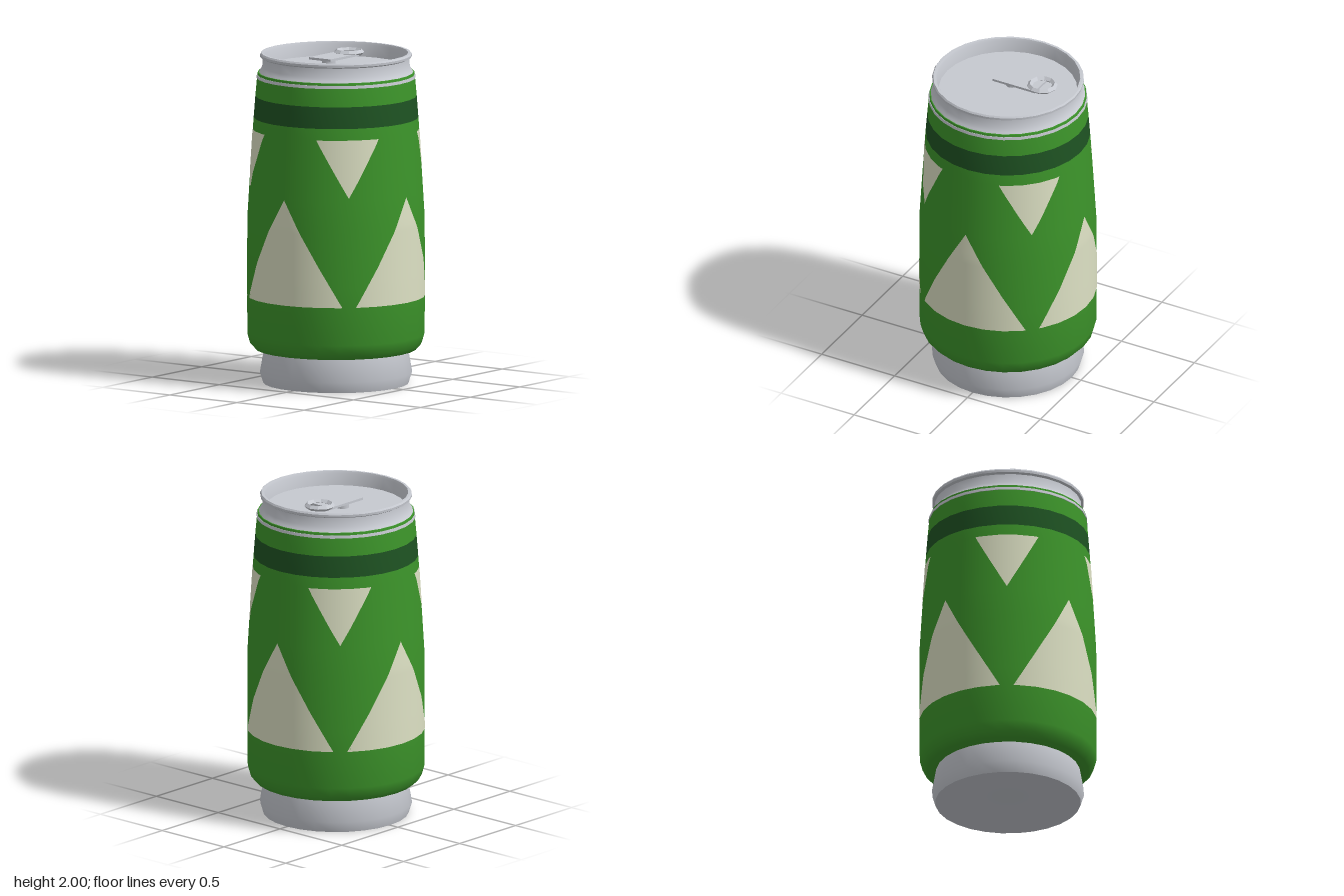
import * as THREE from 'three';
import { toCreasedNormals } from 'three/addons/utils/BufferGeometryUtils.js';

const SIDES = 28;
const STEP = (Math.PI * 2) / SIDES;

// Outer profile of the printed sleeve: [radius, height]
const SLEEVE = [
  [0.41, 0.2], [0.485, 0.208], [0.515, 0.24], [0.532, 0.3], [0.533, 0.65], [0.532, 1.0],
  [0.522, 1.17], [0.499, 1.54], [0.494, 1.61], [0.484, 1.74], [0.474, 1.85],
];

function sleeveRadius(y) {
  let i = 1;
  while (i < SLEEVE.length - 1 && SLEEVE[i][1] < y) i++;
  const [r0, y0] = SLEEVE[i - 1];
  const [r1, y1] = SLEEVE[i];
  return r0 + ((r1 - r0) * (y - y0)) / (y1 - y0);
}

function turned(name, points, material, crease = 0.6) {
  const lathe = new THREE.LatheGeometry(points.map(([r, y]) => new THREE.Vector2(r, y)), SIDES);
  const mesh = new THREE.Mesh(toCreasedNormals(lathe, crease), material);
  mesh.name = name;
  return mesh;
}

// Triangle wrapped on the faceted sleeve; half widths are angles in degrees
function wrappedTriangle(name, yLow, yHigh, halfLow, halfHigh, centre, material) {
  const rows = 16, cols = 40, pos = [], nor = [], idx = [];
  for (let j = 0; j <= rows; j++) {
    const t = j / rows;
    const y = yLow + (yHigh - yLow) * t;
    const half = THREE.MathUtils.degToRad(halfLow + (halfHigh - halfLow) * t);
    const slope = (sleeveRadius(y + 0.02) - sleeveRadius(y - 0.02)) / 0.04;
    for (let i = 0; i <= cols; i++) {
      const a = centre + half * ((2 * i) / cols - 1);
      const local = (((a % STEP) + STEP) % STEP) - STEP / 2;
      const r = (sleeveRadius(y) * Math.cos(STEP / 2)) / Math.cos(local) + 0.002;
      pos.push(r * Math.sin(a), y, r * Math.cos(a));
      const n = new THREE.Vector3(Math.sin(a), -slope, Math.cos(a)).normalize();
      nor.push(n.x, n.y, n.z);
      if (i < cols && j < rows) {
        const p = j * (cols + 1) + i, q = p + cols + 1;
        idx.push(p, p + 1, q + 1, p, q + 1, q);
      }
    }
  }
  const geo = new THREE.BufferGeometry();
  geo.setAttribute('position', new THREE.Float32BufferAttribute(pos, 3));
  geo.setAttribute('normal', new THREE.Float32BufferAttribute(nor, 3));
  geo.setIndex(idx);
  const mesh = new THREE.Mesh(geo, material);
  mesh.name = name;
  return mesh;
}

export function createModel() {
  const paint = (name, color) => {
    const m = new THREE.MeshStandardMaterial({ color });
    m.name = name;
    return m;
  };
  const silver = paint('silver', 0xc6c9d0);
  const green = paint('green', 0x3c942a);
  const darkGreen = paint('dark green', 0x1e5222);
  const cream = paint('cream', 0xdde1c4);

  const group = new THREE.Group();
  group.name = 'drinkCan';

  // Base foot with a shallow hollow underneath
  const hollow = [0, 0.2, 0.4, 0.6, 0.8].map((t) => [0.437 * t, 0.045 * (1 - t * t)]);
  group.add(turned('base', [...hollow, [0.437, 0], [0.457, 0.065], [0.432, 0.205]], silver));

  // Sleeve, split at the dark band
  const section = (lo, hi) => SLEEVE.filter(([, y]) => y >= lo && y <= hi);
  group.add(turned('lowerSleeve', section(0, 1.61), green, 0.8));
  group.add(turned('darkBand', section(1.61, 1.74), darkGreen));
  group.add(turned('upperSleeve', section(1.74, 1.85), green));

  // Seam at the top of the sleeve
  group.add(turned('seamLip', [[0.47, 1.85], [0.478, 1.85], [0.475, 1.868], [0.468, 1.868]], silver));
  group.add(turned('sleeveEdge', [[0.473, 1.866], [0.47, 1.882], [0.455, 1.884]], green));

  // Neck, rim and recessed lid in one turned piece
  group.add(turned('neckAndLid', [
    [0.467, 1.878], [0.458, 1.892], [0.443, 1.915], [0.44, 1.968], [0.455, 1.976], [0.456, 1.99],
    [0.449, 2.0], [0.434, 2.0], [0.427, 1.985], [0.416, 1.915], [0, 1.915],
  ], silver));

  // Four large triangles, with four small inverted ones between them
  for (let k = 0; k < 4; k++) {
    const a = (k * Math.PI) / 2;
    group.add(wrappedTriangle('largeTriangle', 0.53, 1.168, 40.6, 0, a, cream));
    group.add(wrappedTriangle('smallTriangle', 1.19, 1.54, 0, 22.3, a + Math.PI / 4, cream));
  }

  // Pull tab on its rivet, and its faceted ring
  const tab = new THREE.Mesh(new THREE.BoxGeometry(0.29, 0.014, 0.16), silver);
  tab.name = 'pullTab';
  tab.position.set(0.053, 1.963, -0.054);
  group.add(tab);

  const rivet = new THREE.Mesh(new THREE.CylinderGeometry(0.04, 0.04, 0.045, 12), silver);
  rivet.name = 'tabRivet';
  rivet.position.set(0, 1.936, -0.054);
  group.add(rivet);

  const ringGeometry = new THREE.TorusGeometry(0.076, 0.017, 4, 10);
  const ring = new THREE.Mesh(toCreasedNormals(ringGeometry, 0.3), silver);
  ring.name = 'pullRing';
  ring.rotation.x = -Math.PI / 2;
  ring.position.set(0.205, 1.972, -0.054);
  group.add(ring);

  return group;
}
